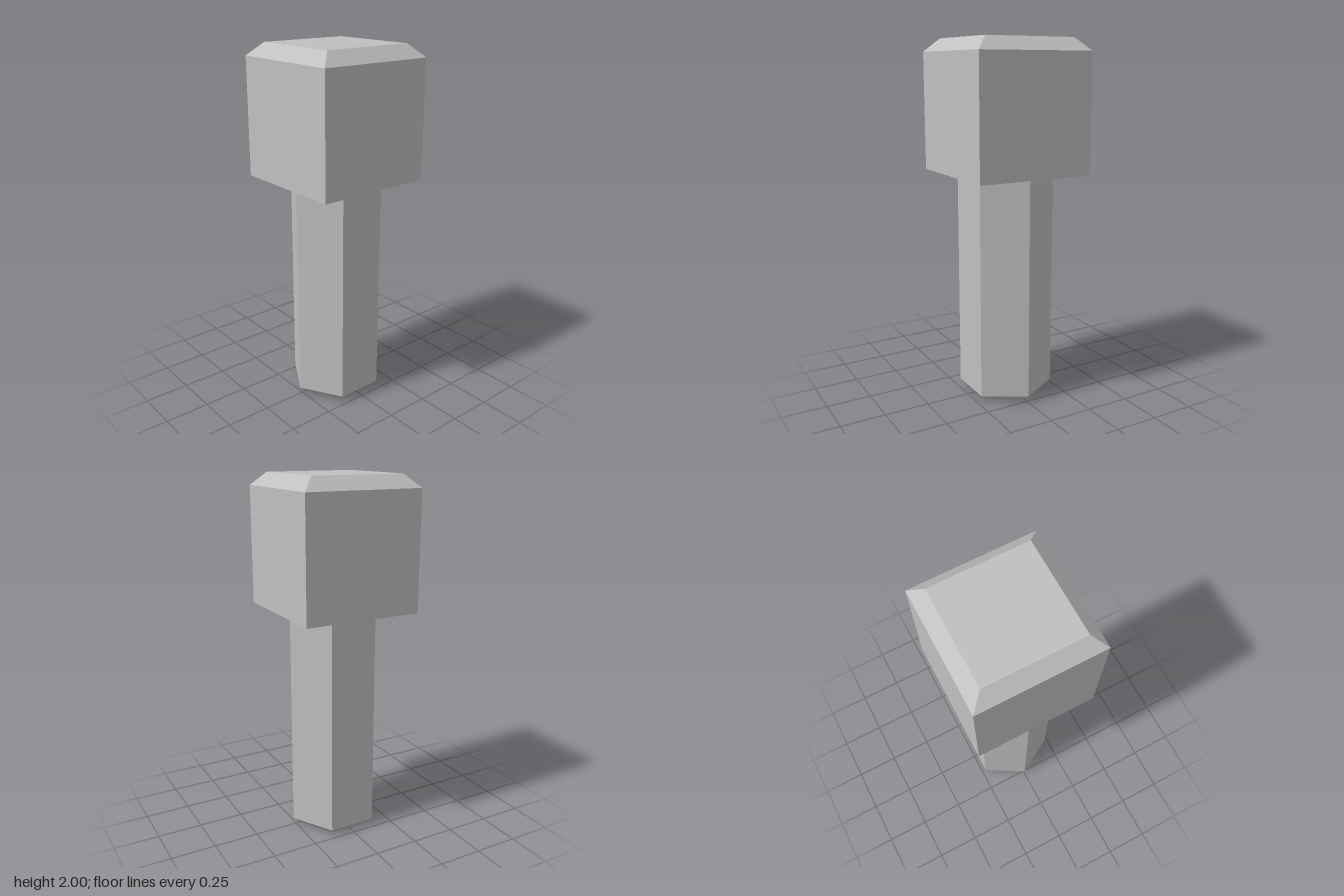
import * as THREE from 'three';

// Faceted solid: a profile of [radius, y] pairs, bottom to top, swept round n flat sides
function facetedSolid(name, profile, sides, phiStart, material) {
  const points = profile.map(([r, y]) => new THREE.Vector2(r, y));
  const geometry = new THREE.LatheGeometry(points, sides, phiStart).toNonIndexed();
  geometry.computeVertexNormals();
  const mesh = new THREE.Mesh(geometry, material);
  mesh.name = name;
  return mesh;
}

export function createModel() {
  const metal = new THREE.MeshStandardMaterial({ color: 0xc0c0c0 });
  metal.name = 'grey metal';

  const group = new THREE.Group();
  group.name = 'squareHeadedBolt';

  // Hexagonal shaft with a small chamfer at the foot; its corners point to front and back
  const shaft = [[0, 0], [0.222, 0], [0.265, 0.037], [0.265, 1.277]];
  group.add(facetedSolid('shaft', shaft, 6, 0, metal));

  // Square head with a chamfered top; half widths become corner radii
  const corner = Math.SQRT2;
  const head = [[0, 1.277], [0.333 * corner, 1.277], [0.333 * corner, 1.93], [0.262 * corner, 2], [0, 2]];
  group.add(facetedSolid('head', head, 4, Math.PI / 4, metal));

  return group;
}
